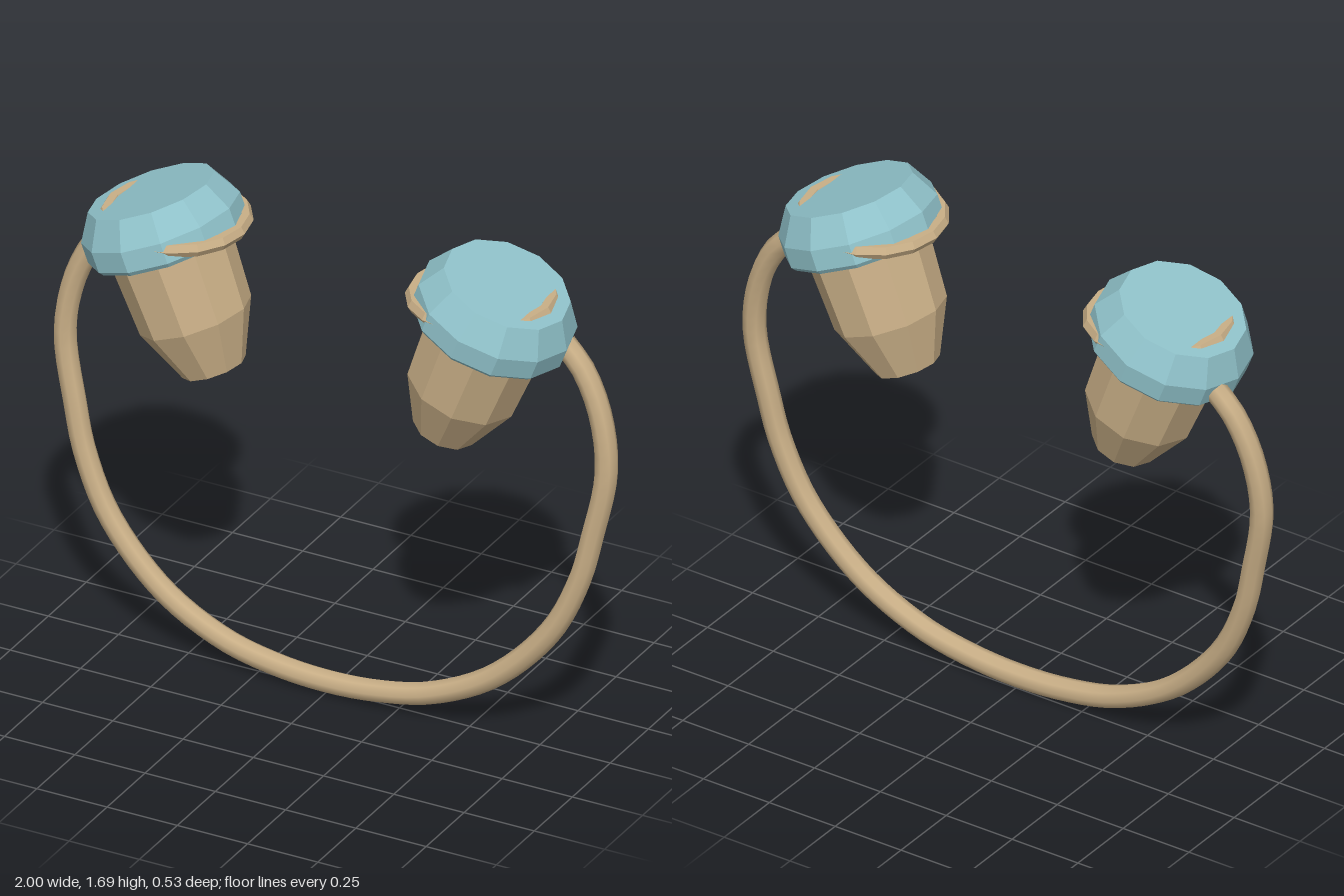
import * as THREE from 'three';

const tan = new THREE.MeshStandardMaterial({ color: 0xc8ae86 });
tan.name = 'tan';
const teal = new THREE.MeshStandardMaterial({ color: 0x8fc1c9 });
teal.name = 'teal';

// Faceted copy of a geometry
function faceted(geometry) {
  const g = geometry.toNonIndexed();
  g.computeVertexNormals();
  return g;
}

function addMesh(parent, name, geometry, material) {
  const mesh = new THREE.Mesh(geometry, material);
  mesh.name = name;
  parent.add(mesh);
  return mesh;
}

// Faceted solid turned about y from [radius, height] pairs
function turned(profile, sides) {
  const points = profile.map(([r, y]) => new THREE.Vector2(r, y));
  return faceted(new THREE.LatheGeometry(points, sides, Math.PI / 2));
}

function createPlug(side) {
  const plug = new THREE.Group();
  plug.name = side > 0 ? 'leftPlug' : 'rightPlug';

  // Tapered body and wide cap share one leaning axis
  const leaning = new THREE.Group();
  leaning.name = 'plugHead';
  leaning.position.set(side * 0.41, 1.055, 0);
  leaning.rotation.z = -side * 0.375;
  plug.add(leaning);
  addMesh(leaning, 'body', turned([[0, 0], [0.105, 0], [0.185, 0.18], [0.2, 0.46]], 10), tan);
  addMesh(leaning, 'cap', turned(
    [[0, 0.435], [0.25, 0.435], [0.263, 0.45], [0.263, 0.52], [0.21, 0.61], [0, 0.61]], 12), teal);

  // Level ring cutting through the cap
  const ring = addMesh(plug, 'ring', faceted(new THREE.TorusGeometry(0.22, 0.025, 6, 16)), tan);
  ring.rotation.x = Math.PI / 2;
  ring.position.set(side * 0.546, 1.558, 0);
  return plug;
}

export function createModel() {
  const model = new THREE.Group();
  model.name = 'cordedEarplugs';
  model.add(createPlug(1), createPlug(-1));

  // Hanging cord: half path mirrored, drifting back as it rises
  const half = [[0.80, 1.425], [0.87, 1.35], [0.935, 1.21], [0.963, 1.02], [0.92, 0.78],
    [0.88, 0.62], [0.785, 0.42], [0.59, 0.215], [0.37, 0.1], [0.18, 0.058]];
  const path = [...half, [0, 0.046], ...half.map(([x, y]) => [-x, y]).reverse()];
  const curve = new THREE.CatmullRomCurve3(
    path.map(([x, y]) => new THREE.Vector3(x, y, 0.018 - 0.06 * y)));
  addMesh(model, 'cord', new THREE.TubeGeometry(curve, 80, 0.038, 8, false), tan);
  return model;
}
